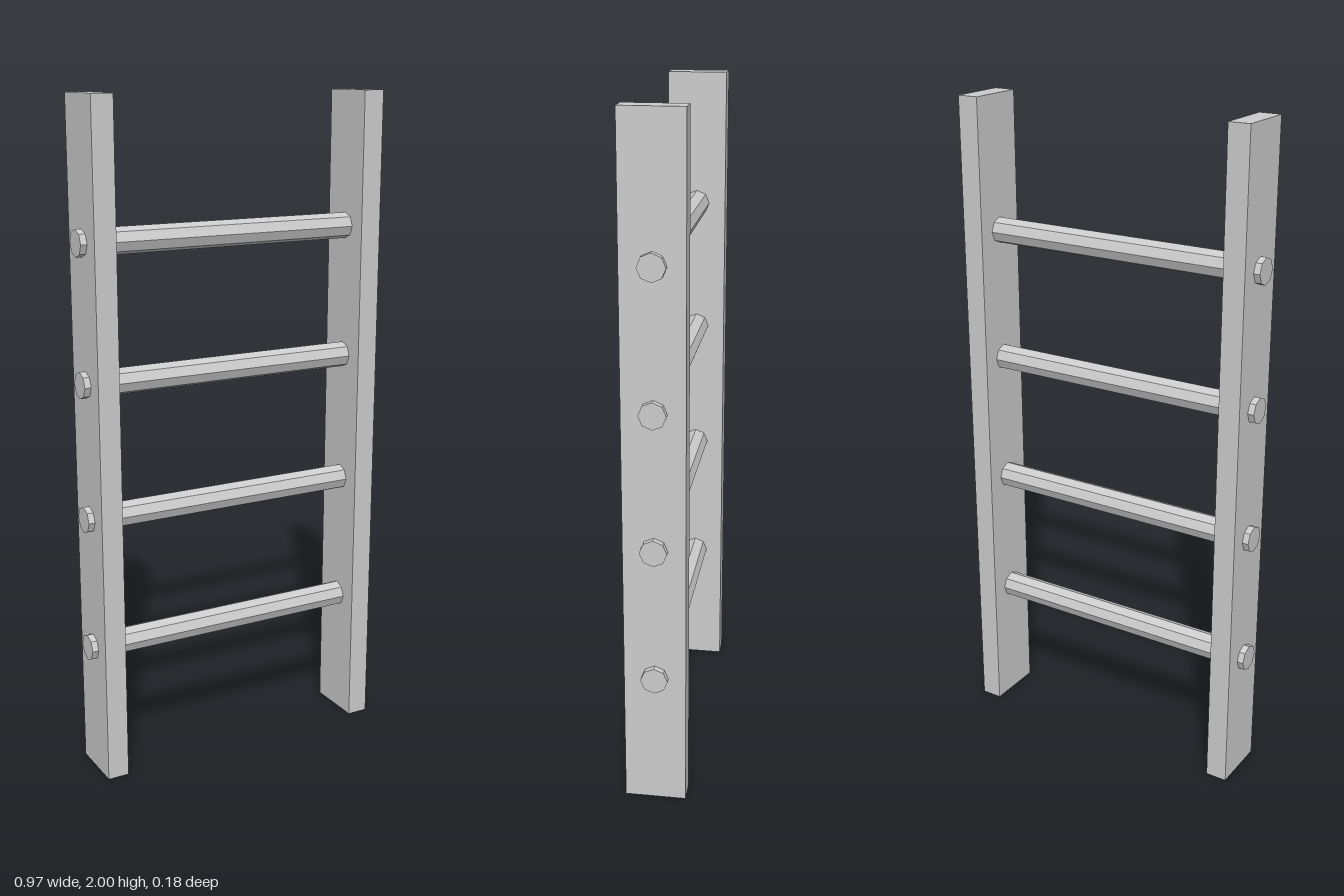
import * as THREE from 'three';

export function createModel() {
  const group = new THREE.Group();
  const material = new THREE.MeshStandardMaterial({ color: 0xcccccc, flatShading: true });

  // Two upright side rails
  const railGeometry = new THREE.BoxGeometry(0.065, 2, 0.178);
  for (const side of [1, -1]) {
    const rail = new THREE.Mesh(railGeometry, material);
    rail.name = side > 0 ? 'leftRail' : 'rightRail';
    rail.position.set(side * 0.4325, 1, 0);
    group.add(rail);
  }

  // Four eight-sided rungs, their ends poking out through the rails
  const rungGeometry = new THREE.CylinderGeometry(0.039, 0.039, 0.968, 8).rotateZ(Math.PI / 2);
  for (let i = 1; i <= 4; i++) {
    const rung = new THREE.Mesh(rungGeometry, material);
    rung.name = `rung${i}`;
    rung.position.y = i * 0.4;
    group.add(rung);
  }

  return group;
}
